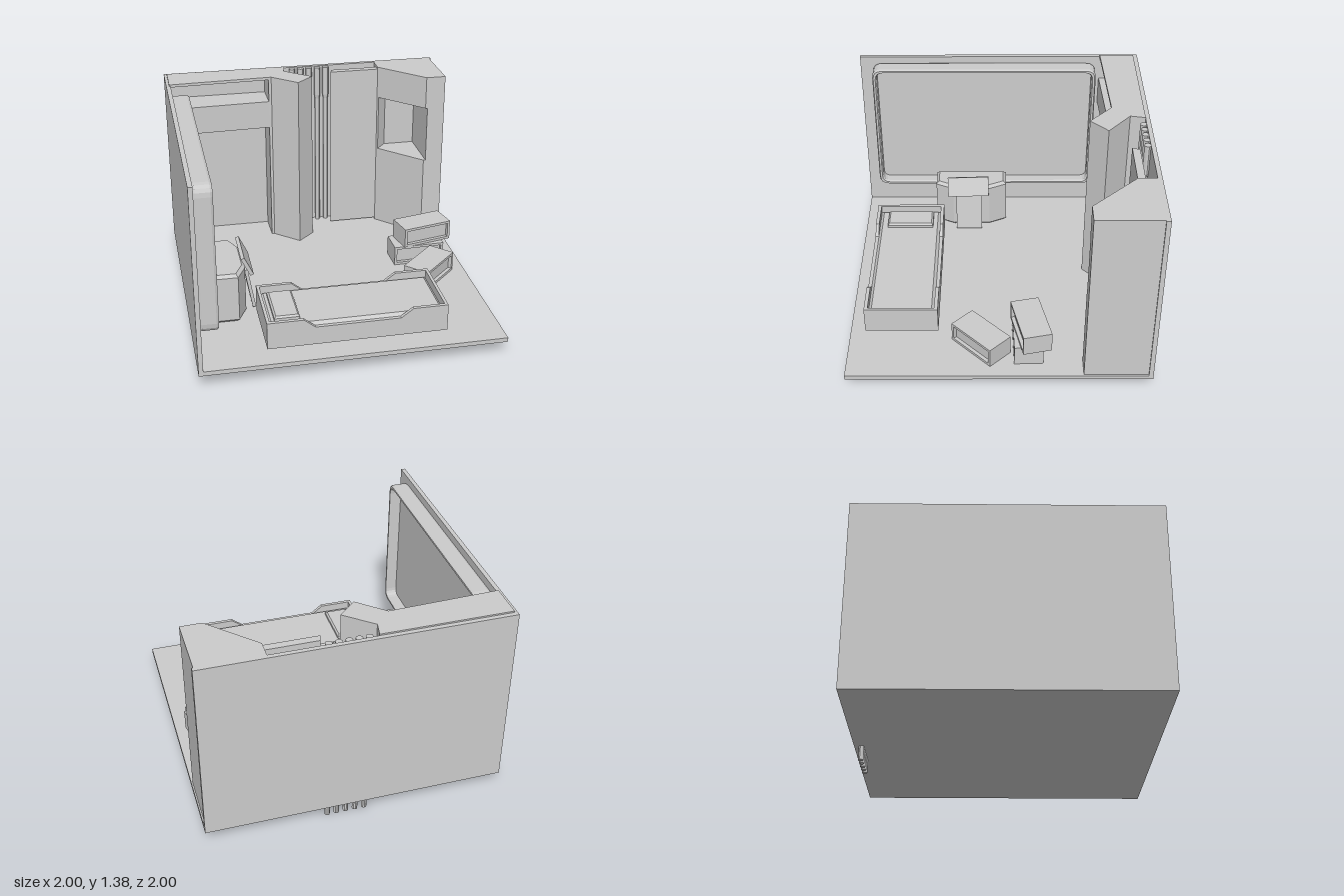
import * as THREE from 'three';

const material = new THREE.MeshStandardMaterial({ color: 0xcccccc, flatShading: true, side: THREE.DoubleSide });

function add(parent, name, geometry) {
  const mesh = new THREE.Mesh(geometry, material);
  mesh.name = name;
  parent.add(mesh);
  return mesh;
}

// Box given by its lower and upper limits
function block(parent, name, x0, x1, y0, y1, z0, z1) {
  const mesh = add(parent, name, new THREE.BoxGeometry(x1 - x0, y1 - y0, z1 - z0));
  mesh.position.set((x0 + x1) / 2, (y0 + y1) / 2, (z0 + z1) / 2);
  return mesh;
}

// Plan outline of [x, z] points raised from y0 to y1, with an optional chamfered top
function prism(parent, name, plan, y0, y1, bevel = 0) {
  const shape = new THREE.Shape(plan.map(([x, z]) => new THREE.Vector2(x, -z)));
  const geometry = new THREE.ExtrudeGeometry(shape, {
    depth: y1 - y0 - 2 * bevel, bevelEnabled: bevel > 0,
    bevelThickness: bevel, bevelSize: bevel, bevelOffset: -bevel, bevelSegments: 1,
  });
  geometry.rotateX(-Math.PI / 2).translate(0, y0 + bevel, 0);
  return add(parent, name, geometry);
}

const rectPlan = (x0, x1, z0, z1) => [[x0, z0], [x0, z1], [x1, z1], [x1, z0]];

function roundedRect(target, x0, x1, y0, y1, r) {
  target.moveTo(x0 + r, y0);
  target.lineTo(x1 - r, y0);
  target.quadraticCurveTo(x1, y0, x1, y0 + r);
  target.lineTo(x1, y1 - r);
  target.quadraticCurveTo(x1, y1, x1 - r, y1);
  target.lineTo(x0 + r, y1);
  target.quadraticCurveTo(x0, y1, x0, y1 - r);
  target.lineTo(x0, y0 + r);
  target.quadraticCurveTo(x0, y0, x0 + r, y0);
  return target;
}

function room(parent) {
  block(parent, 'floor', -1, 1, 0.095, 0.125, -1, 1);
  block(parent, 'leftWall', -1, -0.97, 0.125, 1.375, -1, 1);
  block(parent, 'backWall', -0.97, 1, 0.125, 1.375, -1, -0.97);
}

// Wide window: rounded rim with a recessed pane
function wallWindow(parent) {
  const shape = roundedRect(new THREE.Shape(), -0.91, 0.7, 0.335, 1.33, 0.07);
  shape.holes.push(roundedRect(new THREE.Path(), -0.88, 0.67, 0.365, 1.3, 0.05));
  const rim = new THREE.ExtrudeGeometry(shape, {
    depth: 0.09, bevelThickness: 0.015, bevelSize: 0.008, bevelOffset: -0.008, bevelSegments: 1, curveSegments: 4,
  });
  rim.rotateY(Math.PI / 2).translate(-0.955, 0, 0);
  add(parent, 'windowRim', rim);
  block(parent, 'windowPane', -0.97, -0.93, 0.36, 1.305, -0.67, 0.88);
}

// Alcove in the back corner: column, shelf and thin cap
function alcove(parent) {
  const face = [[-0.25, -0.755], [-0.08, -0.6], [0.04, -0.715], [-0.14, -0.87], [-0.12, -0.97]];
  prism(parent, 'column', [[-0.27, -0.97], [-0.27, -0.755], ...face], 0.125, 1.365);
  prism(parent, 'alcoveCap', [[-0.98, -0.97], [-0.98, -0.73], ...face], 1.365, 1.385);
  prism(parent, 'alcoveShelf', [[-0.97, -0.97], [-0.97, -0.73], [-0.27, -0.755], [-0.27, -0.97]], 1.0, 1.2);
}

function pipes(parent) {
  const profile = [[0, 0], [0.018, 0], [0.018, 1.13], [0.023, 1.16], [0.023, 1.37], [0, 1.37]];
  const points = profile.map(([r, y]) => new THREE.Vector2(r, y));
  for (let i = 0; i < 5; i++) {
    add(parent, 'pipe', new THREE.LatheGeometry(points, 10)).position.set(-0.065 + i * 0.0627, 0, -0.952);
  }
}

// Corner cabinet with a diagonal front and a niche cut into it
function cornerCabinet(parent) {
  const back = [[0.56, -0.97], [0.56, -0.85]];
  const side = [[0.99, -0.55], [0.99, -0.97]];
  const full = [...back, [0.85, -0.55], ...side];
  const niche = [...back, [0.57, -0.84], [0.64, -0.92], [0.865, -0.92], [0.865, -0.55], ...side];
  prism(parent, 'cabinetBase', full, 0.125, 0.73);
  prism(parent, 'cabinetNiche', niche, 0.73, 1.14);
  prism(parent, 'cabinetTop', full, 1.14, 1.375);
}

function bed(parent) {
  const group = new THREE.Group();
  group.name = 'bed';
  parent.add(group);
  block(group, 'bedBase', -0.555, 0.62, 0.17, 0.24, 0.405, 0.895);
  block(group, 'headboard', -0.555, -0.535, 0.24, 0.355, 0.405, 0.895);
  block(group, 'footboard', 0.6, 0.62, 0.24, 0.355, 0.405, 0.895);
  // Side rails dip in the middle
  const outline = [[-0.555, 0.17], [0.62, 0.17], [0.62, 0.355], [0.39, 0.355], [0.31, 0.295],
    [-0.245, 0.295], [-0.32, 0.355], [-0.555, 0.355]];
  const rail = new THREE.ExtrudeGeometry(
    new THREE.Shape(outline.map(([x, y]) => new THREE.Vector2(x, y))), { depth: 0.024, bevelEnabled: false });
  for (const z of [0.405, 0.871]) add(group, 'bedRail', rail).position.z = z;
  prism(group, 'mattress', rectPlan(-0.535, 0.6, 0.429, 0.871), 0.22, 0.315, 0.02);
  prism(group, 'pillow', rectPlan(-0.495, -0.33, 0.48, 0.81), 0.3, 0.345, 0.012);
}

// Console cabinet with a tilted screen and a leaning panel
function console_(parent) {
  prism(parent, 'consoleBody', [[-0.83, -0.055], [-0.83, 0.465], [-0.675, 0.465], [-0.615, 0.34],
    [-0.615, 0.07], [-0.675, -0.055]], 0.125, 0.48, 0.02);
  const screen = add(parent, 'consoleScreen', new THREE.BoxGeometry(0.025, 0.142, 0.3));
  screen.position.set(-0.602, 0.487, 0.225);
  screen.rotation.set(0.03, 0, 0.44);
  const panel = add(parent, 'consolePanel', new THREE.BoxGeometry(0.022, 0.29, 0.19));
  panel.position.set(-0.58, 0.283, 0.22);
  panel.rotation.z = 0.17;
}

// Storage crate with an inset long face
function crate(parent, x, y, z, turn) {
  const group = new THREE.Group();
  group.name = 'crate';
  const [w, h, d, m, inset] = [0.365, 0.14, 0.19, 0.018, 0.025];
  block(group, 'crateBody', -w / 2, w / 2, 0, h, -d / 2, d / 2 - inset);
  const shape = new THREE.Shape(rectPlan(-w / 2, w / 2, 0, h).map(([a, b]) => new THREE.Vector2(a, b)));
  shape.holes.push(new THREE.Path(rectPlan(m - w / 2, w / 2 - m, m, h - m).map(([a, b]) => new THREE.Vector2(a, b))));
  const frame = new THREE.ExtrudeGeometry(shape, { depth: inset, bevelEnabled: false });
  add(group, 'crateFrame', frame).position.z = d / 2 - inset;
  group.position.set(x, y, z);
  group.rotation.y = turn;
  parent.add(group);
}

export function createModel() {
  const model = new THREE.Group();
  model.name = 'room';
  room(model);
  wallWindow(model);
  alcove(model);
  pipes(model);
  prism(model, 'wallPanel', [[0.22, -0.9], [0.205, -0.85], [0.56, -0.85], [0.56, -0.9]], 0.14, 1.36);
  cornerCabinet(model);
  bed(model);
  console_(model);
  crate(model, 0.705, 0.125, -0.19, 0.03);
  crate(model, 0.753, 0.267, -0.21, 0.22);
  crate(model, 0.718, 0.125, 0.118, 0.776);
  return model;
}
